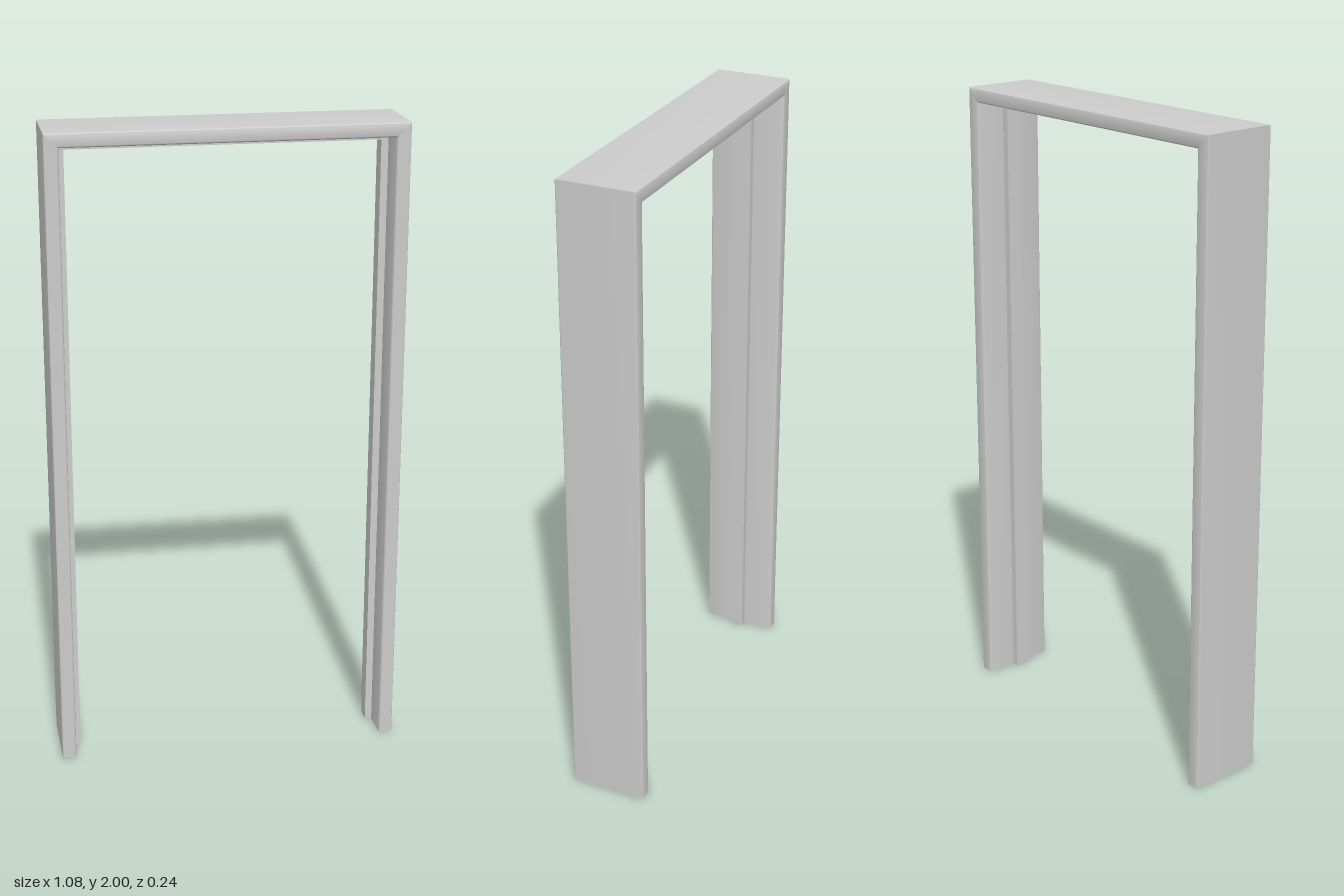
import * as THREE from 'three';
import { toCreasedNormals } from 'three/addons/utils/BufferGeometryUtils.js';

const HALF_W = 0.54, HEIGHT = 2, HALF_D = 0.12;
const JAMB = 0.044, STOP = 0.066, STOP_HALF = 0.022;

// Section through the frame: x runs inward from the outer face, y is depth
function frameSection() {
  const outer = 0.005, inner = 0.009;
  const s = new THREE.Shape();
  s.moveTo(0, -HALF_D + outer);
  s.quadraticCurveTo(0, -HALF_D, outer, -HALF_D);
  s.lineTo(JAMB - inner, -HALF_D);
  s.quadraticCurveTo(JAMB, -HALF_D, JAMB, -HALF_D + inner);
  s.lineTo(JAMB, -STOP_HALF);
  s.lineTo(STOP, -STOP_HALF);
  s.lineTo(STOP, STOP_HALF);
  s.lineTo(JAMB, STOP_HALF);
  s.lineTo(JAMB, HALF_D - inner);
  s.quadraticCurveTo(JAMB, HALF_D, JAMB - inner, HALF_D);
  s.lineTo(outer, HALF_D);
  s.quadraticCurveTo(0, HALF_D, 0, HALF_D - outer);
  s.closePath();
  return s;
}

// Extrude the section, cut the ends at 45 degrees, then place every vertex
function mitredBar(length, mitreStart, place) {
  const geo = new THREE.ExtrudeGeometry(frameSection(), {
    depth: length, bevelEnabled: false, curveSegments: 5,
  });
  const p = geo.attributes.position;
  for (let i = 0; i < p.count; i++) {
    const d = p.getX(i), z = p.getY(i);
    let t = p.getZ(i);
    if (t > length / 2) t -= d;
    else if (mitreStart) t += d;
    p.setXYZ(i, ...place(d, z, t));
  }
  geo.computeVertexNormals();
  return toCreasedNormals(geo, 0.5);
}

export function createModel() {
  const group = new THREE.Group();
  group.name = 'doorFrame';
  const material = new THREE.MeshStandardMaterial({ color: 0xcccccc });

  // Side jambs, mitred at the top
  const jamb = mitredBar(HEIGHT, false, (d, z, t) => [HALF_W - d, t, z]);
  for (const [name, turn] of [['leftJamb', 0], ['rightJamb', Math.PI]]) {
    const mesh = new THREE.Mesh(jamb, material);
    mesh.name = name;
    mesh.rotation.y = turn;
    group.add(mesh);
  }

  // Head across the top, mitred at both ends
  const head = new THREE.Mesh(
    mitredBar(HALF_W * 2, true, (d, z, t) => [HALF_W - t, HEIGHT - d, z]), material);
  head.name = 'head';
  group.add(head);

  return group;
}
